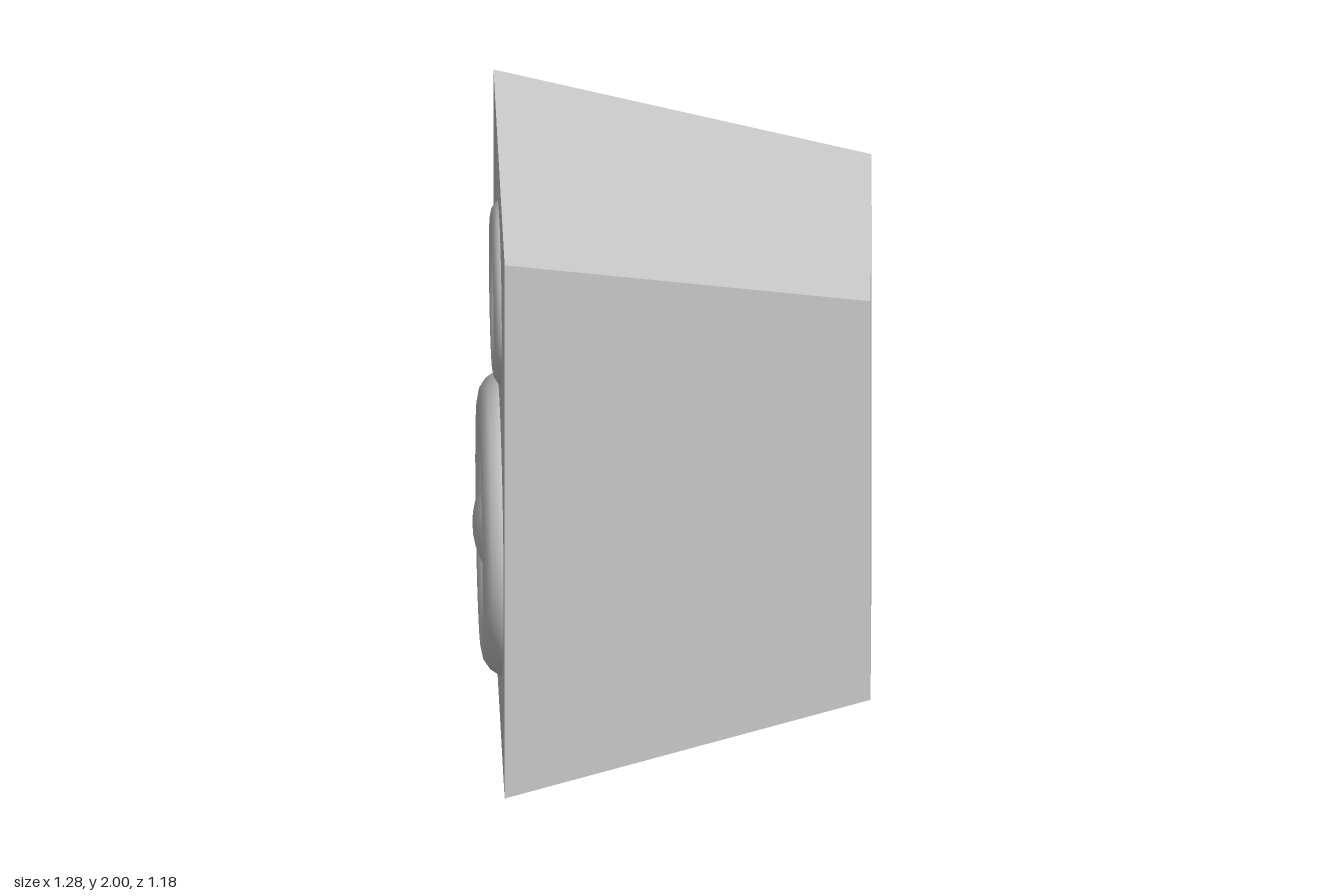
import * as THREE from 'three';

const material = new THREE.MeshStandardMaterial({ color: 0xcccccc });
const FRONT_X = -0.56; // the baffle faces -x

const drivers = [
  { name: 'woofer', y: 0.665, ring: 0.395, tube: 0.1, dome: 0.276, domeDepth: 0.191 },
  { name: 'tweeter', y: 1.53, ring: 0.246, tube: 0.061, dome: 0.165, domeDepth: 0.148 },
];

function addMesh(parent, name, geometry, z = 0) {
  const mesh = new THREE.Mesh(geometry, material);
  mesh.name = name;
  mesh.position.z = z;
  parent.add(mesh);
  return mesh;
}

// Tapered walls and slightly skewed rear panel
function cabinetGeometry() {
  const front = [[-0.59, 0], [0.59, 0], [0.59, 2], [-0.59, 2]].map(([z, y]) => [FRONT_X, y, z]);
  const back = [
    [0.64, 0.255, -0.445], [0.61, 0.255, 0.44],
    [0.61, 1.75, 0.44], [0.64, 1.75, -0.445],
  ];
  const points = [];
  const quad = (a, b, c, d) => points.push(...a, ...b, ...c, ...a, ...c, ...d);
  for (let i = 0; i < 4; i++) {
    const j = (i + 1) % 4;
    quad(front[i], back[i], back[j], front[j]);
  }
  quad(back[0], back[3], back[2], back[1]);
  const geometry = new THREE.BufferGeometry();
  geometry.setAttribute('position', new THREE.Float32BufferAttribute(points, 3));
  geometry.computeVertexNormals();
  return geometry;
}

// Flat front panel with a round opening for each driver
function baffleGeometry() {
  const shape = new THREE.Shape();
  shape.moveTo(-0.59, 0).lineTo(0.59, 0).lineTo(0.59, 2).lineTo(-0.59, 2).closePath();
  for (const d of drivers) {
    shape.holes.push(new THREE.Path().absarc(0, d.y, d.ring, 0, Math.PI * 2, true));
  }
  return new THREE.ShapeGeometry(shape, 32);
}

// Rounded surround, recessed floor and central dome, facing +z
function makeDriver({ name, y, ring, tube, dome, domeDepth }) {
  const driver = new THREE.Group();
  driver.name = name;
  driver.position.y = y;
  addMesh(driver, 'surround', new THREE.TorusGeometry(ring, tube, 16, 40), -0.036);
  addMesh(driver, 'recessFloor', new THREE.CircleGeometry(ring, 40), -0.062);
  const cap = new THREE.SphereGeometry(dome, 32, 12, 0, Math.PI * 2, 0, Math.PI / 2);
  addMesh(driver, 'dome', cap.rotateX(Math.PI / 2), -domeDepth);
  return driver;
}

export function createModel() {
  const model = new THREE.Group();
  model.name = 'speaker';
  addMesh(model, 'cabinet', cabinetGeometry());

  // Front assembly is made facing +z, then turned to -x
  const face = new THREE.Group();
  face.name = 'frontAssembly';
  face.rotation.y = -Math.PI / 2;
  face.position.x = FRONT_X;
  addMesh(face, 'baffle', baffleGeometry());
  for (const d of drivers) face.add(makeDriver(d));
  model.add(face);
  return model;
}
